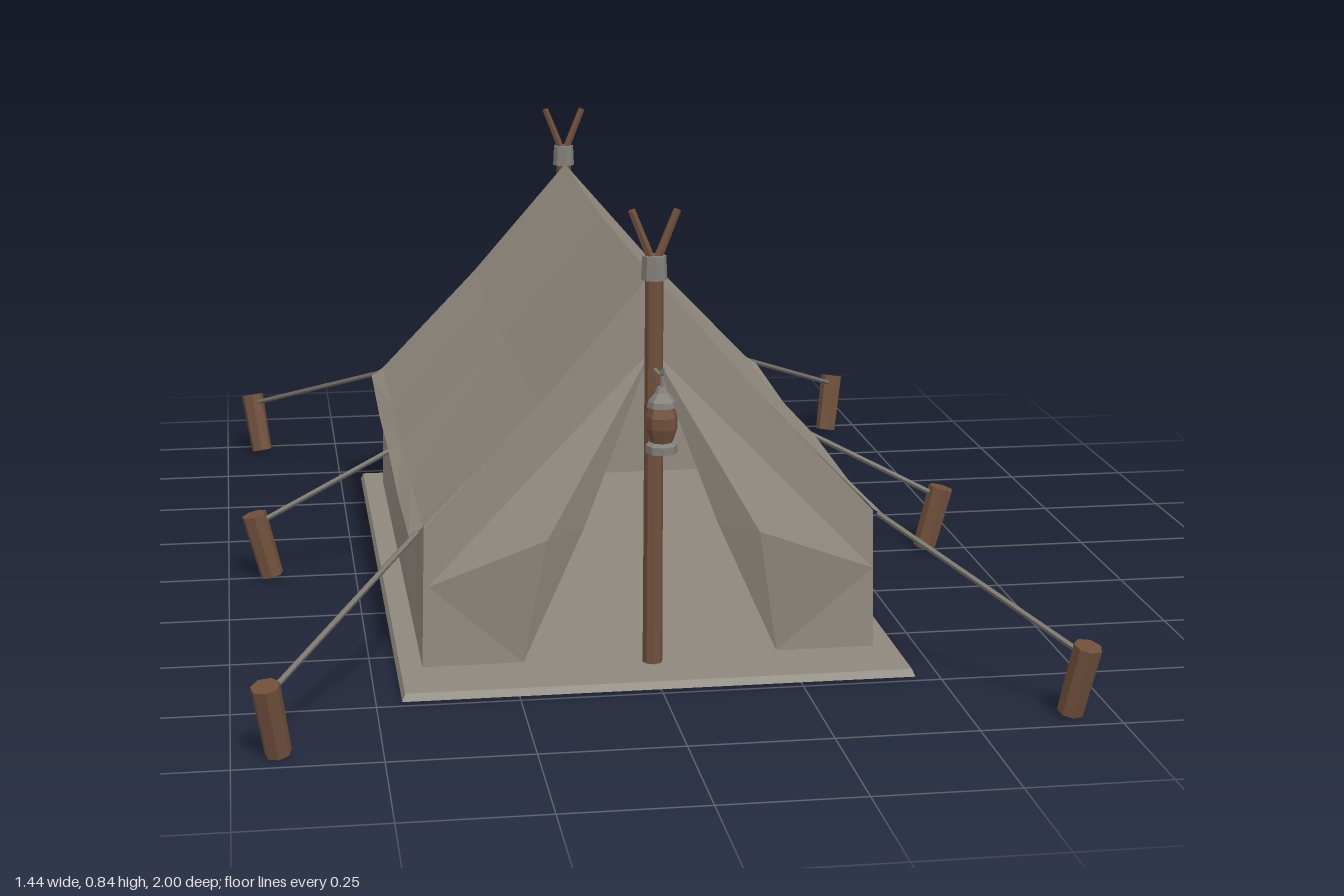
import * as THREE from 'three';

const mat = (name, color, extra = {}) => {
  const m = new THREE.MeshStandardMaterial({ color, flatShading: true, ...extra });
  m.name = name;
  return m;
};

export function createModel() {
  const model = new THREE.Group();
  const canvas = mat('canvas', 0x918a7f, { side: THREE.DoubleSide });
  const sheet = mat('groundsheet', 0x8e877d);
  const wood = mat('wood', 0x6f4f3b);
  const metal = mat('metal', 0x827e78);
  const cord = mat('cord', 0x77736c);

  const add = (name, geo, material, parent = model) => {
    const mesh = new THREE.Mesh(geo, material);
    mesh.name = name;
    parent.add(mesh);
    return mesh;
  };

  // Straight round bar between two points
  const rod = (name, a, b, r, material, sides = 6, parent = model, rTop = r) => {
    const p = new THREE.Vector3(...a), q = new THREE.Vector3(...b);
    const d = q.clone().sub(p);
    const mesh = add(name, new THREE.CylinderGeometry(rTop, r, d.length(), sides), material, parent);
    mesh.position.copy(p).add(q).multiplyScalar(0.5);
    mesh.quaternion.setFromUnitVectors(new THREE.Vector3(0, 1, 0), d.normalize());
    return mesh;
  };

  // Sheet of cloth stretched over rows of points
  const cloth = (rows) => {
    const pos = rows.flat(2), idx = [], n = rows[0].length;
    for (let i = 0; i < rows.length - 1; i++) {
      for (let j = 0; j < n - 1; j++) {
        const a = i * n + j, b = a + 1, c = a + n, d = c + 1;
        if (j < (n - 1) / 2) idx.push(a, c, b, b, c, d);
        else idx.push(a, c, d, a, d, b);
      }
    }
    const g = new THREE.BufferGeometry();
    g.setAttribute('position', new THREE.Float32BufferAttribute(pos, 3));
    g.setIndex(idx);
    g.computeVertexNormals();
    return g;
  };

  // Groundsheet with bevelled rim, longer at the porch
  const floorGeo = new THREE.BoxGeometry(0.91, 0.013, 1.42);
  const fp = floorGeo.attributes.position;
  for (let i = 0; i < fp.count; i++) {
    if (fp.getY(i) > 0) fp.setXYZ(i, fp.getX(i) * 0.988, fp.getY(i), fp.getZ(i) * 0.992);
  }
  floorGeo.computeVertexNormals();
  add('groundsheet', floorGeo, sheet).position.set(0, 0.0065, 0.03);

  // Sagging roof slopes and side walls
  const END = 0.605;
  const zs = [-END, -0.3, 0, 0.3, END];
  const sag = [0, 0.009, 0.012, 0.009, 0];
  const eaveDip = [0, 0.015, 0.006, 0.015, 0];
  for (const s of [1, -1]) {
    const side = s > 0 ? 'left' : 'right';
    add(side + 'Roof', cloth([
      zs.map((z, i) => [0, 0.715 - sag[i], z]),
      zs.map((z, i) => [s * 0.2, 0.485 - sag[i] * 0.8, z]),
      zs.map((z, i) => [s * 0.405, 0.272 - eaveDip[i] * 0.6, z]),
      zs.map((z, i) => [s * 0.43, 0.255 - eaveDip[i], z]),
    ]), canvas);
    add(side + 'Wall', cloth([
      zs.map((z, i) => [s * 0.403, 0.272 - eaveDip[i] * 0.6, z]),
      zs.map((z) => [s * 0.41, 0.013, z]),
    ]), canvas);
  }

  // Back wall
  const panel = (pts) => new THREE.ShapeGeometry(
    new THREE.Shape(pts.map(([x, y]) => new THREE.Vector2(x, y))));
  const gable = [[0.41, 0.013], [0.404, 0.27], [0.2, 0.485], [0, 0.715]];
  add('backWall', panel([...gable,
    ...gable.slice(0, 3).reverse().map(([x, y]) => [-x, y])]), canvas).position.z = -END;

  // Front wall with a tall open doorway and folded door flaps
  for (const s of [1, -1]) {
    const side = s > 0 ? 'left' : 'right';
    const half = [...gable, [0, 0.58], [0.12, 0.26], [0.23, 0.013]];
    add(side + 'FrontPanel', panel(half.map(([x, y]) => [s * x, y])), canvas).position.z = END;

    const rim = [[0, 0.58, 0.607], [0.12, 0.26, 0.608], [0.23, 0.015, 0.61],
      [0.4, 0.17, 0.63], [0.2, 0.375, 0.616]];
    const pts = [[0.19, 0.25, 0.643], ...rim].map(([x, y, z]) => [s * x, y, z]);
    const idx = [];
    for (let i = 0; i < 5; i++) {
      const a = 1 + i, b = 1 + ((i + 1) % 5);
      idx.push(0, ...(s > 0 ? [a, b] : [b, a]));
    }
    const g = new THREE.BufferGeometry();
    g.setAttribute('position', new THREE.Float32BufferAttribute(pts.flat(), 3));
    g.setIndex(idx);
    g.computeVertexNormals();
    add(side + 'DoorFlap', g, canvas);
  }

  // Poles with metal collars and forked tips
  for (const s of [1, -1]) {
    const pole = new THREE.Group();
    pole.name = s > 0 ? 'frontPole' : 'backPole';
    pole.position.z = s * 0.63;
    model.add(pole);
    rod('poleShaft', [0, 0.012, 0], [0, 0.72, 0], 0.018, wood, 8, pole, 0.016);
    rod('poleCollar', [0, 0.71, 0], [0, 0.752, 0], 0.023, metal, 8, pole, 0.021);
    for (const t of [1, -1]) {
      rod('forkTip', [t * 0.003, 0.74, 0], [t * 0.04, 0.832, 0], 0.008, wood, 6, pole, 0.007);
    }
  }

  // Guy lines and leaning stakes
  for (const s of [1, -1]) {
    for (const k of [1, 0, -1]) {
      const dir = new THREE.Vector2(s * 0.25, k * 0.36).normalize().multiplyScalar(0.016);
      const x = s * 0.681, z = k * 0.962;
      rod('stake', [x - dir.x, 0.002, z - dir.y], [x + dir.x, 0.128, z + dir.y],
        0.023, wood, 7, model, 0.025);
      rod('guyLine', [s * 0.415, k ? 0.262 : 0.255, k * 0.6],
        [x + dir.x * 0.3, 0.112, z + dir.y * 0.3], 0.0055, cord, 5);
    }
  }

  // Lantern on a bent hook
  const lantern = new THREE.Group();
  lantern.name = 'lantern';
  lantern.position.z = 0.717;
  model.add(lantern);
  const hook = new THREE.CatmullRomCurve3([
    [0, 0.553, -0.075], [0, 0.556, -0.03], [0, 0.56, 0], [0, 0.575, 0.006],
  ].map((p) => new THREE.Vector3(...p)));
  add('lanternHook', new THREE.TubeGeometry(hook, 8, 0.004, 5), metal, lantern);
  rod('lanternRing', [0, 0.525, 0], [0, 0.56, 0], 0.003, metal, 5, lantern);
  const lathe = (name, pts, m) => add(name, new THREE.LatheGeometry(
    pts.map(([r, y]) => new THREE.Vector2(r, y)), 8), m, lantern);
  lathe('lanternBase', [[0, 0.424], [0.028, 0.424], [0.028, 0.438], [0.02, 0.443], [0, 0.443]], metal);
  lathe('lanternBody', [[0.019, 0.441], [0.028, 0.468], [0.028, 0.488], [0.02, 0.508]], wood);
  lathe('lanternCap', [[0, 0.505], [0.026, 0.505], [0.024, 0.515], [0.012, 0.53], [0.008, 0.54], [0, 0.54]], metal);

  return model;
}
